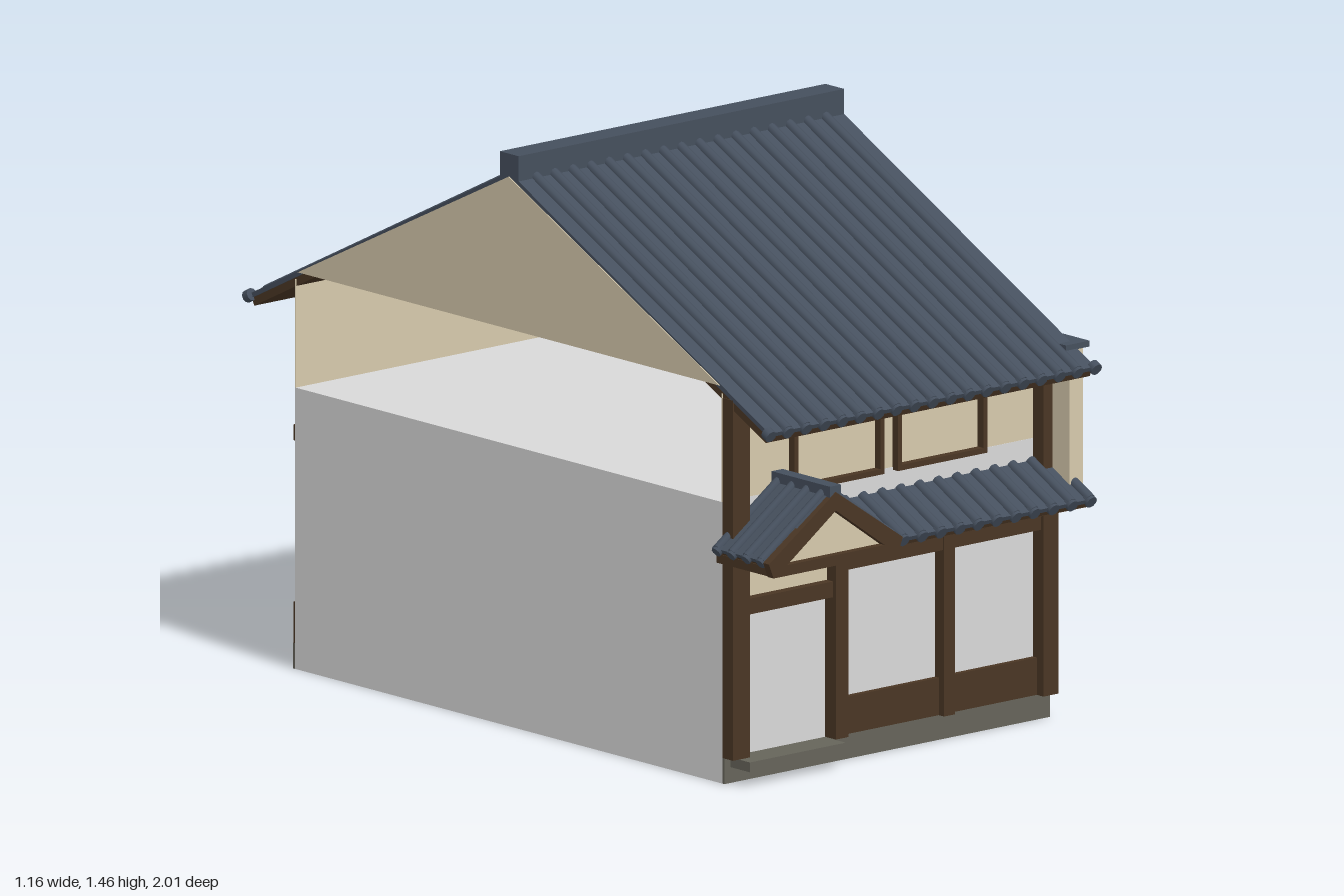
import * as THREE from 'three';

const material = (name, color, extra = {}) =>
  Object.assign(new THREE.MeshStandardMaterial({ color, ...extra }), { name });

export function createModel() {
  const model = new THREE.Group();
  model.name = 'townhouse';

  const plain = material('plain grey', 0xd8d8d8);
  const plaster = material('cream plaster', 0xd6c9ac, { side: THREE.DoubleSide });
  const wood = material('dark wood', 0x4a3624);
  const slate = material('slate tile', 0x454f5d);
  const stone = material('grey stone', 0x66645a);

  const add = (name, geometry, mat, parent = model) => {
    const mesh = new THREE.Mesh(geometry, mat);
    mesh.name = name;
    parent.add(mesh);
    return mesh;
  };
  // Box given by its limits on each axis
  const box = (name, mat, x0, x1, y0, y1, z0, z1, parent) => {
    const mesh = add(name, new THREE.BoxGeometry(x1 - x0, y1 - y0, z1 - z0), mat, parent);
    mesh.position.set((x0 + x1) / 2, (y0 + y1) / 2, (z0 + z1) / 2);
    return mesh;
  };
  const shapeOf = (points) => new THREE.Shape(points.map(([x, y]) => new THREE.Vector2(x, y)));
  const extrude = (shape, depth) => new THREE.ExtrudeGeometry(shape, { depth, bevelEnabled: false });

  // Tiled slope: starts at its top edge, runs down along local +z
  const slope = (name, { width, run, drop, ribs, inset, radius, deck, plainEdges }) => {
    const turn = new THREE.Group();
    turn.name = name;
    const tilt = new THREE.Group();
    tilt.name = name + 'Tiles';
    tilt.rotation.x = Math.atan2(drop, run);
    turn.add(tilt);
    const length = Math.hypot(run, drop);
    box('roofBoards', wood, -width / 2 + 0.003, width / 2 - 0.003, -deck, 0, 0, length - 0.004, tilt);
    box('tileBed', slate, -width / 2, width / 2, 0, 0.012, 0, length, tilt);
    const ribGeometry = new THREE.CylinderGeometry(radius, radius, length, 10).rotateX(Math.PI / 2);
    const capGeometry = new THREE.CylinderGeometry(radius * 1.15, radius * 1.15, 0.02, 10).rotateX(Math.PI / 2);
    for (let i = 0; i < ribs; i++) {
      const x = (i / (ribs - 1) - 0.5) * (width - 2 * inset);
      const edge = i === 0 || i === ribs - 1;
      if (!(plainEdges && edge)) add('tileRib', ribGeometry, slate, tilt).position.set(x, 0.012, length / 2);
      add('eaveCap', capGeometry, slate, tilt).position.set(x, 0.008, length - 0.002);
    }
    model.add(turn);
    return turn;
  };

  // Main block and upper walls
  box('body', plain, -0.535, 0.535, 0, 0.715, -0.82, 0.78);
  for (const [name, z] of [['upperFrontWall', 0.777], ['upperBackWall', -0.819]]) {
    box(name, plaster, -0.535, 0.535, 0.715, 0.99, z - 0.001, z + 0.002);
  }

  // Solid gable under the main roof
  const centreZ = -0.018;
  const gable = add('gable', extrude(shapeOf([[-0.79, 1.01], [0.79, 1.01], [0, 1.397]]), 1.074), plaster);
  gable.rotation.y = Math.PI / 2;
  gable.position.set(-0.537, 0, centreZ);

  // Main roof
  for (const [name, angle] of [['frontRoof', 0], ['backRoof', Math.PI]]) {
    const roof = slope(name, {
      width: 1.07, run: 0.97, drop: 0.485, ribs: 19, inset: 0, radius: 0.014, deck: 0.02, plainEdges: true,
    });
    roof.position.set(0, 1.395, centreZ);
    roof.rotation.y = angle;
  }
  box('ridge', slate, -0.535, 0.535, 1.385, 1.455, centreZ - 0.035, centreZ + 0.035);

  // Foundation, step and back wall bands
  box('frontFoundation', stone, -0.535, 0.535, 0, 0.065, 0.78, 0.788);
  box('backFoundation', stone, -0.535, 0.535, 0, 0.065, -0.828, -0.82);
  box('doorStep', stone, -0.515, -0.2, 0.04, 0.065, 0.78, 0.86);
  box('backSkirting', wood, -0.535, 0.535, 0.065, 0.17, -0.826, -0.82);
  box('backBand', wood, -0.535, 0.535, 0.58, 0.62, -0.826, -0.82);

  // Front timber frame
  box('leftCornerPost', wood, 0.485, 0.535, 0.065, 0.98, 0.78, 0.82);
  box('rightCornerPost', wood, -0.535, -0.48, 0.065, 0.98, 0.78, 0.82);
  box('doorPost', wood, -0.197, -0.155, 0.065, 0.57, 0.78, 0.82);
  box('middlePost', wood, 0.163, 0.198, 0.065, 0.57, 0.78, 0.815);
  box('frontBeam', wood, -0.535, 0.535, 0.548, 0.575, 0.78, 0.82);
  box('doorLintel', wood, -0.48, -0.195, 0.425, 0.465, 0.78, 0.81);
  box('doorTransom', plaster, -0.48, -0.195, 0.465, 0.55, 0.78, 0.786);
  for (const [x0, x1] of [[-0.155, 0.163], [0.198, 0.485]]) {
    box('shopSkirting', wood, x0, x1, 0.065, 0.16, 0.78, 0.795);
    box('shopLintel', wood, x0, x1, 0.487, 0.53, 0.78, 0.81);
    box('shopTransom', plaster, x0, x1, 0.53, 0.55, 0.78, 0.786);
  }

  // Upper window frames
  for (const [x0, x1] of [[-0.315, -0.02], [0.025, 0.318]]) {
    box('windowJamb', wood, x0, x0 + 0.013, 0.708, 0.93, 0.779, 0.8);
    box('windowJamb', wood, x1 - 0.013, x1, 0.708, 0.93, 0.779, 0.8);
    box('windowSill', wood, x0, x1, 0.708, 0.722, 0.779, 0.8);
    box('windowHead', wood, x0, x1, 0.918, 0.932, 0.779, 0.8);
  }

  // Lean-to roof over the shop front
  const leanTo = slope('leanToRoof', {
    width: 0.7, run: 0.155, drop: 0.08, ribs: 12, inset: 0.012, radius: 0.014, deck: 0.016,
  });
  leanTo.position.set(0.195, 0.65, 0.78);
  box('leanToFascia', wood, -0.16, 0.55, 0.558, 0.575, 0.78, 0.925);

  // Gabled porch roof over the door
  const porchX = -0.355;
  for (const side of [-1, 1]) {
    const roof = slope('porchRoof', {
      width: 0.205, run: 0.207, drop: 0.145, ribs: 4, inset: 0.02, radius: 0.012, deck: 0.014,
    });
    roof.position.set(porchX, 0.74, 0.882);
    roof.rotation.y = side * Math.PI / 2;
  }
  box('porchRidge', slate, porchX - 0.018, porchX + 0.018, 0.725, 0.768, 0.78, 0.998);
  const porchGable = add('porchGable', extrude(shapeOf([[-0.18, 0.588], [0.18, 0.588], [0, 0.722]]), 0.2), plaster);
  porchGable.position.set(porchX, 0, 0.78);
  const boards = shapeOf([[-0.205, 0.565], [0.205, 0.565], [0.22, 0.603], [0, 0.752], [-0.22, 0.603]]);
  boards.holes.push(new THREE.Path([[-0.16, 0.592], [0, 0.705], [0.16, 0.592]].map(([x, y]) => new THREE.Vector2(x, y))));
  add('porchBargeboards', extrude(boards, 0.022), wood).position.set(porchX, 0, 0.978);
  box('porchSoffit', wood, porchX - 0.2, porchX + 0.2, 0.565, 0.588, 0.78, 0.98);

  // Shutter box on the left side
  box('shutterBox', plaster, 0.515, 0.56, 0.567, 0.955, 0.622, 0.883);
  box('shutterBoxRoof', slate, 0.497, 0.575, 0.953, 0.968, 0.615, 0.89);
  box('shutterBoxLedge', wood, 0.49, 0.563, 0.556, 0.568, 0.618, 0.887);

  return model;
}
